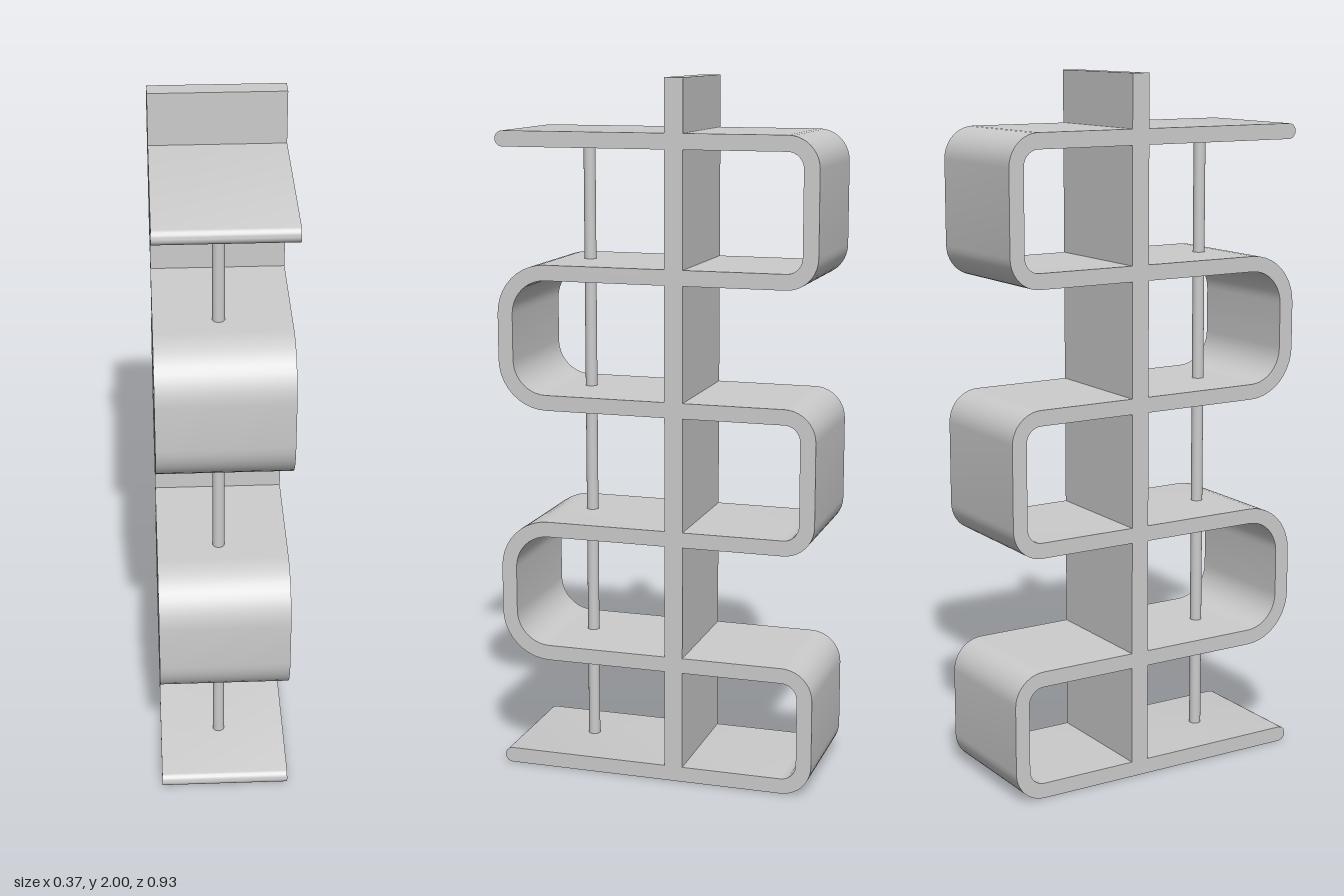
import * as THREE from 'three';
import { toCreasedNormals } from 'three/addons/utils/BufferGeometryUtils.js';

const WIDTH = 0.37;                                   // along x
const HALF = 0.022;                                   // half the board thickness
const REACH = 0.441;                                  // centreline of the outermost bends
const LEVELS = [0.022, 0.35, 0.72, 1.09, 1.46, 1.83]; // shelf centre heights
const PANEL = { z: -0.057, depth: 0.053, top: 2 };
const ROD = { x: -0.01, z: 0.253, radius: 0.017 };

// Points on an arc in the (z, y) plane, angles in degrees
function arc(cz, cy, radius, from, to, steps = 10) {
  return Array.from({ length: steps + 1 }, (_, i) => {
    const a = THREE.MathUtils.degToRad(from + ((to - from) * i) / steps);
    return new THREE.Vector2(cz + radius * Math.cos(a), cy + radius * Math.sin(a));
  });
}

// One edge of the winding board: offset is measured outward on the back bends
function boardEdge(offset) {
  const points = [];
  for (let i = 0; i < LEVELS.length - 1; i++) {
    const back = i % 2 === 0;
    const bend = back ? 0.067 : 0.12;
    const radius = bend + (back ? offset : -offset);
    const cz = (REACH - bend) * (back ? -1 : 1);
    const mid = back ? 180 : 0;
    const turn = back ? -90 : 90;
    points.push(...arc(cz, LEVELS[i] + bend, radius, mid - turn, mid));
    points.push(...arc(cz, LEVELS[i + 1] - bend, radius, mid, mid + turn));
  }
  return points;
}

export function createModel() {
  const group = new THREE.Group();
  const material = new THREE.MeshStandardMaterial({ color: 0xcccccc });
  const add = (name, geometry, x = 0, y = 0, z = 0) => {
    const mesh = new THREE.Mesh(geometry, material);
    mesh.name = name;
    mesh.position.set(x, y, z);
    group.add(mesh);
  };

  // Winding shelf board with rounded free ends
  const outline = [
    ...boardEdge(HALF),
    ...arc(REACH, LEVELS[5], HALF, 90, -90),
    ...boardEdge(-HALF).reverse(),
    ...arc(REACH, LEVELS[0], HALF, 90, -90),
  ];
  const board = new THREE.ExtrudeGeometry(new THREE.Shape(outline), { depth: WIDTH, bevelEnabled: false });
  board.translate(0, 0, -WIDTH / 2).rotateY(-Math.PI / 2);
  add('windingShelf', toCreasedNormals(board, 0.6));

  // Upright panel, in sections between the shelves
  LEVELS.forEach((level, i) => {
    const bottom = level + HALF;
    const top = i < LEVELS.length - 1 ? LEVELS[i + 1] - HALF : PANEL.top;
    add('uprightPanel' + (i + 1), new THREE.BoxGeometry(WIDTH, top - bottom, PANEL.depth), 0, (top + bottom) / 2, PANEL.z);
  });

  // Round support rod, in sections between the shelves
  for (let i = 0; i < LEVELS.length - 1; i++) {
    const bottom = LEVELS[i] + HALF;
    const top = LEVELS[i + 1] - HALF;
    const rod = new THREE.CylinderGeometry(ROD.radius, ROD.radius, top - bottom, 24);
    add('supportRod' + (i + 1), rod, ROD.x, (top + bottom) / 2, ROD.z);
  }

  return group;
}
